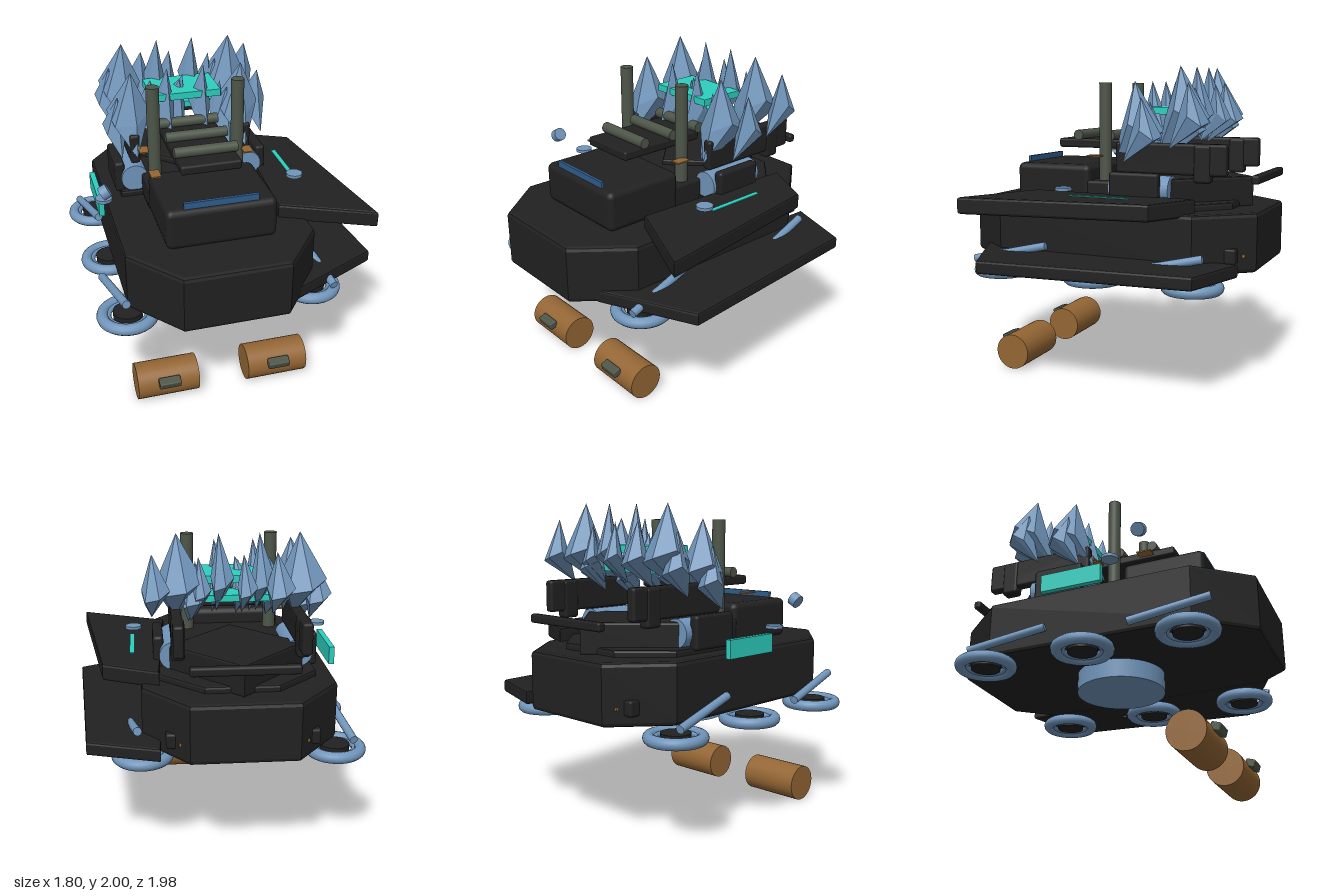
import * as THREE from 'three';
import { RoundedBoxGeometry } from 'three/addons/geometries/RoundedBoxGeometry.js';
import { ConvexGeometry } from 'three/addons/geometries/ConvexGeometry.js';

const mat = (name, color, flatShading = false) => {
  const m = new THREE.MeshStandardMaterial({ color, flatShading });
  m.name = name;
  return m;
};

export function createModel() {
  const black = mat('black armour', 0x212121);
  const steel = mat('steel blue', 0x7095bb);
  const teal = mat('glowing teal', 0x2dcfbf);
  const brown = mat('rust brown', 0x946634);
  const olive = mat('olive grey', 0x4d5548);
  const navy = mat('dark blue', 0x2f5d8c);

  const root = new THREE.Group();
  const CX = -0.12; // hull centreline

  const add = (name, geo, material, x = 0, y = 0, z = 0) => {
    const m = new THREE.Mesh(geo, material);
    m.name = name;
    m.position.set(x, y, z);
    root.add(m);
    return m;
  };
  // box given by its extents, rounded when r > 0
  const box = (name, material, [x0, x1], [y0, y1], [z0, z1], r = 0) => {
    const s = [x1 - x0, y1 - y0, z1 - z0];
    const g = r ? new RoundedBoxGeometry(...s, 2, r) : new THREE.BoxGeometry(...s);
    return add(name, g, material, (x0 + x1) / 2, (y0 + y1) / 2, (z0 + z1) / 2);
  };
  // bevelled upright prism over an outline of [x, z] points
  const prism = (name, material, pts, y0, y1, b = 0.015) => {
    const shape = new THREE.Shape(pts.map(([x, z]) => new THREE.Vector2(x, -z)));
    const g = new THREE.ExtrudeGeometry(shape, {
      depth: y1 - y0 - 2 * b, bevelEnabled: true, bevelSize: b, bevelThickness: b,
      bevelOffset: -b, bevelSegments: 2,
    });
    g.rotateX(-Math.PI / 2);
    return add(name, g, material, 0, y0 + b, 0);
  };
  // cylinder between two points
  const rod = (name, material, a, b, r, sides = 24) => {
    const p = new THREE.Vector3(...a), q = new THREE.Vector3(...b);
    const d = q.clone().sub(p);
    const m = add(name, new THREE.CylinderGeometry(r, r, d.length(), sides), material);
    m.position.copy(p).add(q).multiplyScalar(0.5);
    m.quaternion.setFromUnitVectors(new THREE.Vector3(0, 1, 0), d.normalize());
    return m;
  };

  // hull and side plates
  prism('hull', black, [[-0.44, 0.99], [0.21, 0.99], [0.47, 0.66], [0.47, -0.66],
    [0.2, -0.985], [-0.44, -0.985], [-0.71, -0.66], [-0.71, 0.66]], 0.75, 1.12, 0.025);
  prism('upperSidePlate', black, [[0.3, 0.47], [0.86, 0.72], [0.7, -0.475], [0.36, -0.64]], 1.1, 1.205);
  prism('lowerSidePlate', black, [[0.31, 0.85], [0.9, 0.57], [0.8, -0.78], [0.365, -0.915]], 0.745, 0.83);

  // superstructure
  prism('deck', black, [[-0.6, -0.05], [0.36, -0.05], [0.36, -0.55], [0.1, -0.8],
    [-0.34, -0.8], [-0.6, -0.55]], 1.1, 1.16);
  prism('rearBlock', black, [[CX, -0.87], [0.3, -0.45], [CX, -0.03], [-0.54, -0.45]], 1.11, 1.31);
  box('frontBlock', black, [-0.46, 0.225], [1.11, 1.37], [0.13, 0.67], 0.04);
  box('middleBlock', black, [-0.46, 0.22], [1.11, 1.27], [-0.45, 0.16], 0.02);
  box('topSlab', black, [-0.31, 0.07], [1.47, 1.53], [-0.18, 0.43], 0.015);
  box('frontVisor', navy, [-0.35, 0.11], [1.365, 1.407], [0.625, 0.645]);
  for (const z of [0.28, 0.05, -0.17])
    rod('topRoller', olive, [-0.32, 1.555, z], [0.08, 1.555, z], 0.034);

  // mirrored fins, tanks, posts, corner blocks
  for (const s of [-1, 1]) {
    const span = (a, b) => (s > 0 ? [CX + a, CX + b] : [CX - b, CX - a]);
    box('outerFin', black, span(0.445, 0.51), [1.14, 1.35], [-0.41, -0.08], 0.02);
    box('innerFin', black, span(0.338, 0.402), [1.335, 1.53], [-0.81, -0.08], 0.018);
    box('finClamp', black, span(0.33, 0.41), [1.29, 1.525], [-0.71, -0.6], 0.02);
    rod('sideTank', steel, [CX + s * 0.385, 1.24, -0.46], [CX + s * 0.385, 1.24, -0.06], 0.088);
    rod('post', olive, [CX + s * 0.272, 1.12, 0.045], [CX + s * 0.272, 1.9, 0.045], 0.041);
    box('cornerBlock', black, span(0.36, 0.455), [0.815, 0.91], [-0.89, -0.8], 0.015);
    box('rearLamp', brown, span(0.34, 0.38), [0.85, 0.87], [-0.93, -0.885]);
    box('sideLightPanel', teal, span(s > 0 ? 0.625 : 0.62, 0.655), [1.095, 1.21], [-0.28, 0.12]);
    const dx = s > 0 ? 0.51 : -0.747;
    rod('sideDisc', steel, [dx, 1.235, 0.17], [dx, 1.255, 0.17], 0.053);
    // hover rings
    for (const z of [0.64, -0.015, -0.67]) {
      const x = CX + s * 0.59;
      const outer = add('hoverRing', new THREE.TorusGeometry(0.155, 0.036, 12, 40), steel, x, 0.69, z);
      const inner = add('hoverRingInner', new THREE.TorusGeometry(0.118, 0.018, 8, 40), steel, x, 0.69, z);
      outer.rotation.x = inner.rotation.x = Math.PI / 2;
      rod('hoverCore', black, [x, 0.67, z], [x, 0.72, z], 0.09);
    }
    // slanted struts, turned half round from one side to the other
    for (const z of [0.55, -0.5])
      rod('strut', steel, [CX + s * 0.69, 0.765, z + s * 0.24], [CX + s * 0.617, 0.87, z - s * 0.24], 0.026, 16);
  }
  rod('looseCap', steel, [-0.785, 1.385, 0.365], [-0.74, 1.41, 0.365], 0.043);
  box('rearBar', black, [-0.43, 0.2], [1.29, 1.345], [-0.99, -0.94], 0.015);
  rod('bellyDisc', steel, [CX, 0.63, -0.015], [CX, 0.76, -0.015], 0.283, 40);

  // thin hatch plates
  for (const [x, z] of [[-0.44, 0.28], [-0.44, -0.07], [0.203, 0.095]])
    box('hatchPlate', brown, [x - 0.032, x + 0.032], [1.426, 1.435], [z - 0.048, z + 0.048]);

  // drums with handles
  for (const x of [-0.48, 0.25]) {
    rod('drum', brown, [x - 0.2, 0.118, 0.6], [x + 0.2, 0.118, 0.6], 0.117, 32);
    const h = add('drumHandle', new RoundedBoxGeometry(0.14, 0.05, 0.06, 2, 0.008), olive, x, 0.168, 0.725);
    h.rotation.x = 0.3;
  }

  // teal slabs between the crystals
  box('crystalTray', teal, [-0.35, 0.11], [1.7, 1.745], [-0.5, -0.19]);
  box('crystalTrayLower', teal, [-0.35, 0.11], [1.585, 1.625], [-0.5, -0.33]);

  // leaning crystals: bottom point, six-sided waist, top point
  const crystalMat = mat('crystal blue', 0x7095bb, true);
  const crystal = (x, z, y0, y1, r, lean, waist = 0.42) => {
    const pts = [new THREE.Vector3(x, y0, z + lean), new THREE.Vector3(x, y1, z)];
    for (let i = 0; i < 6; i++) {
      const a = (i / 6) * Math.PI * 2 + 0.3;
      pts.push(new THREE.Vector3(x - 0.02 + r * Math.cos(a), y0 + (y1 - y0) * (waist + 0.08 * Math.cos(i * 2)),
        z - 0.04 + r * Math.sin(a)));
    }
    add('crystal', new ConvexGeometry(pts), crystalMat);
  };
  for (const [z, dy] of [[-0.5, 0], [-0.2, -0.09]]) {
    for (const x of [-0.48, 0.245]) {
      crystal(x, z, 1.47 + dy, 2 + dy, 0.14, 0.14);
      crystal(x - 0.09, z - 0.01, 1.45 + dy, 1.84 + dy, 0.08, 0.09);
      crystal(x + 0.145, z - 0.1, 1.5 + dy, 1.9 + dy, 0.085, 0.12);
    }
    for (const x of [-0.24, 0]) crystal(x, z - 0.02, 1.5 + dy, 2 + dy, 0.07, 0.13);
    crystal(-0.14, z - 0.1, 1.52 + dy, 1.89 + dy, 0.06, 0.1);
    crystal(0.12, z - 0.05, 1.5 + dy, 1.87 + dy, 0.055, 0.1);
  }
  crystal(CX, -0.3, 1.66, 1.82, 0.035, 0.03);

  return root;
}
